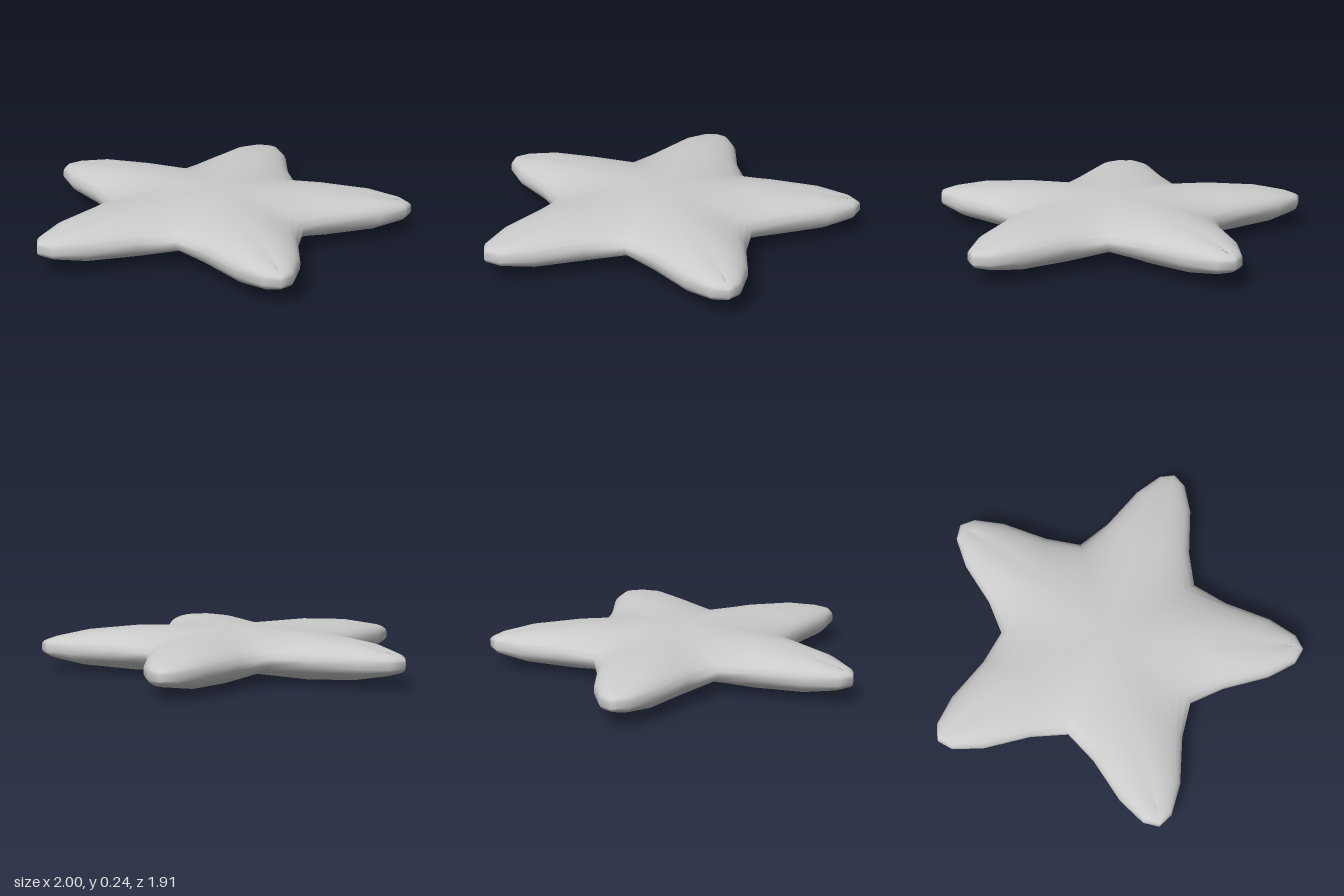
import * as THREE from 'three';
import { mergeVertices } from 'three/addons/utils/BufferGeometryUtils.js';

const ARMS = 5, MID_Y = 0.118, CENTER_Z = 0.09, RIM = 0.016;

// Half an arm, valley to tip: outline distance and half width,
// ridge distance and half thickness, roundness of the cross-section
const STATIONS = [
  { u: 0.457, w: 0.335, ridge: 0, h: 0.118, round: 1.7 },
  { u: 0.63, w: 0.24, ridge: 0.47, h: 0.117, round: 2.1 },
  { u: 0.87, w: 0.16, ridge: 0.75, h: 0.095, round: 2.2 },
  { u: 1.01, w: 0.075, ridge: 0.93, h: 0.061, round: 2.2 },
  { u: 1.05, w: 0, ridge: 0.99, h: 0.045, round: 2.0 },
];
const STEPS = [0, 0.2, 0.4, 0.58, 0.73, 0.85, 0.94, 1];

// Points from the ridge out to the rim, then mirrored back underneath
function crossSection(station, side, angle) {
  const { u, w, ridge, h, round } = station;
  const top = STEPS.map((t) => {
    const along = ridge + (u - ridge) * t;
    const across = side * w * t;
    const height = RIM + (h - RIM) * Math.pow(1 - Math.pow(t, round), 0.58);
    return [
      Math.sin(angle) * along + Math.cos(angle) * across,
      height,
      CENTER_Z - Math.cos(angle) * along + Math.sin(angle) * across,
    ];
  });
  const bottom = top.slice().reverse().map(([x, y, z]) => [x, -y, z]);
  return [...top, ...bottom].map(([x, y, z]) => [x, y + MID_Y, z]);
}

function starGeometry() {
  // Cross-sections in order around the whole outline
  const sections = [];
  for (let a = 0; a < ARMS; a++) {
    const angle = (a * 2 * Math.PI) / ARMS;
    for (let j = 0; j < 8; j++) {
      const station = STATIONS[j <= 4 ? j : 8 - j];
      sections.push(crossSection(station, j < 4 ? -1 : 1, angle));
    }
  }
  const rows = sections[0].length;
  const index = [];
  sections.forEach((_, i) => {
    const a = i * rows, b = ((i + 1) % sections.length) * rows;
    for (let r = 0; r < rows - 1; r++) {
      index.push(a + r, b + r + 1, a + r + 1, a + r, b + r, b + r + 1);
    }
  });
  const geometry = new THREE.BufferGeometry();
  geometry.setAttribute('position', new THREE.Float32BufferAttribute(sections.flat(2), 3));
  geometry.setIndex(index);
  // Weld the shared ridges and centre so the shading is smooth
  const welded = mergeVertices(geometry, 1e-4);
  welded.computeVertexNormals();
  return welded;
}

export function createModel() {
  const group = new THREE.Group();
  group.name = 'starfish';
  const body = new THREE.Mesh(
    starGeometry(),
    new THREE.MeshStandardMaterial({ color: 0xcccccc }),
  );
  body.name = 'starBody';
  group.add(body);
  return group;
}
